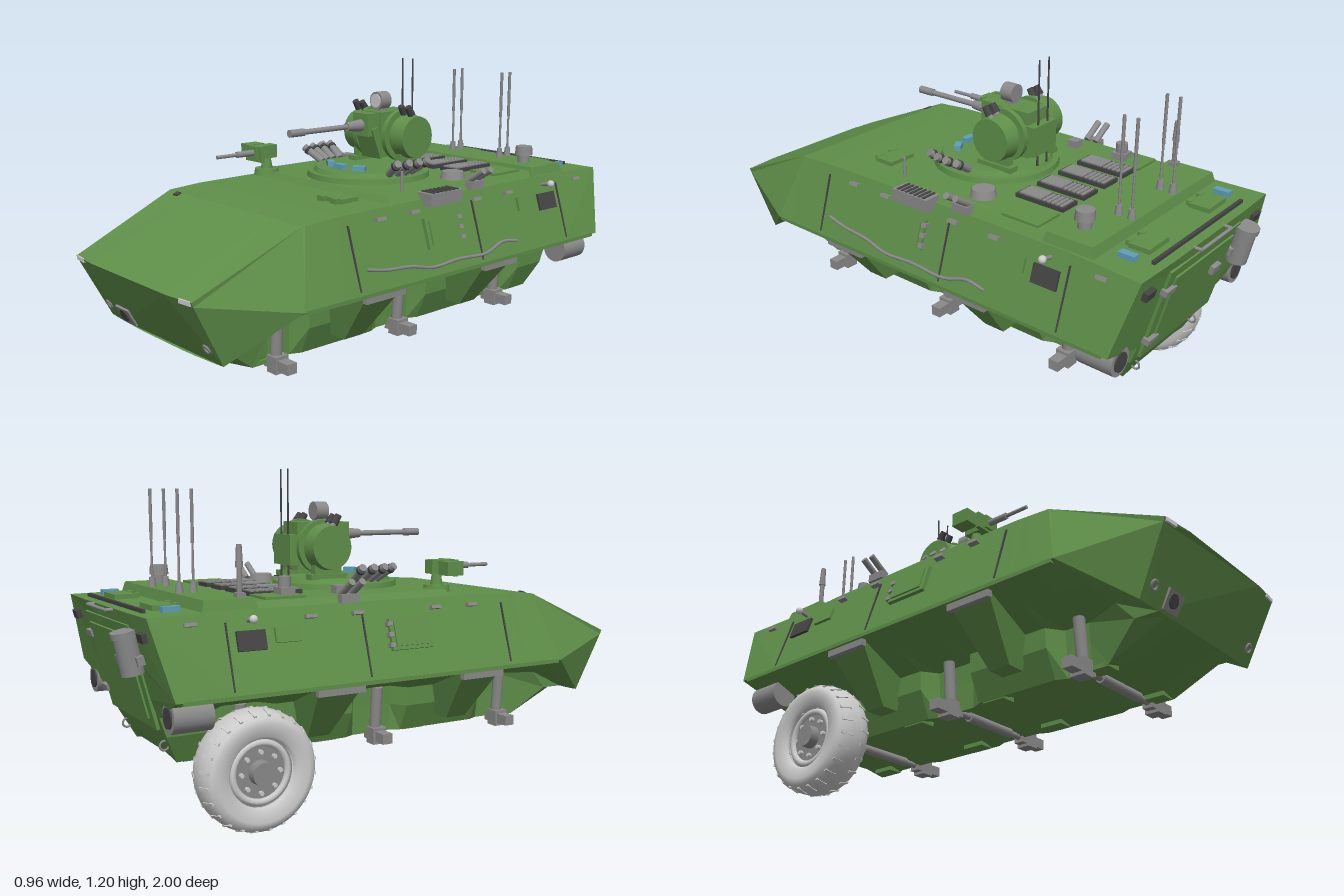
import * as THREE from 'three';

const mat = (color, extra = {}) => new THREE.MeshStandardMaterial({ color, ...extra });
const GREEN = mat(0x5f8f49), FLAT = mat(0x5f8f49, { flatShading: true });
const GREY = mat(0x8a8a8a), LIGHT = mat(0xcccccc), DARK = mat(0x444444), BLUE = mat(0x5f9fb8);

export function createModel() {
  const model = new THREE.Group();
  const add = (name, geo, m, x = 0, y = 0, z = 0, rx = 0, ry = 0, rz = 0) => {
    const mesh = new THREE.Mesh(geo, m);
    mesh.name = name;
    mesh.position.set(x, y, z);
    mesh.rotation.set(rx, ry, rz);
    model.add(mesh);
    return mesh;
  };
  const box = (name, m, w, h, d, ...at) => add(name, new THREE.BoxGeometry(w, h, d), m, ...at);
  // Cylinder or cone running from point a to point b
  const rod = (name, m, a, b, r, r2 = r, n = 14) => {
    const p = new THREE.Vector3(...a), q = new THREE.Vector3(...b), d = q.clone().sub(p);
    const mesh = add(name, new THREE.CylinderGeometry(r2, r, d.length(), n), m);
    mesh.position.copy(p).add(q).multiplyScalar(0.5);
    mesh.quaternion.setFromUnitVectors(new THREE.Vector3(0, 1, 0), d.normalize());
  };
  // Plate lying on the sloped upper side, s = +1 left, -1 right
  const sidePlate = (name, m, s, h, d, y, z, t = 0.016) =>
    box(name, m, t, h, d, s * (0.48 - (y - 0.49) * 0.31), y, z, 0, 0, s * 0.3);
  // Plate lying on the sloped rear
  const rearPlate = (name, m, w, h, x, y, t = 0.016) =>
    box(name, m, w, h, t, x, y, -0.875 - (y - 0.49) * 0.25, -0.25);

  // Hull: half cross-sections from rear to nose, narrowed beside each axle, mirrored and joined
  const section = (z, cut) => {
    const y = 0.75 - Math.max(0, z - 0.4) * 0.068;
    return [[0.23, y, z], [0.395, y, z], [0.48, 0.49, z], [0.365, 0.445, z], [0.25 - cut, 0.4, z], [0.245 - cut, 0.33, z],
      [0.2 - cut * 0.3, 0.23, z], [0.12, 0.25, z]];
  };
  const stations = [
    [[0.23, 0.745, -0.94], [0.41, 0.745, -0.935], [0.48, 0.49, -0.875], [0.365, 0.445, -0.86], [0.25, 0.4, -0.845],
      [0.245, 0.33, -0.82], [0.2, 0.23, -0.77], [0.12, 0.25, -0.78]],
    ...[[-0.67, 0], [-0.63, 0.06], [-0.47, 0.06], [-0.43, 0], [-0.12, 0], [-0.08, 0.06], [0.08, 0.06], [0.12, 0],
      [0.45, 0], [0.49, 0.06], [0.585, 0.06]].map(([z, cut]) => section(z, cut)),
    [[0.23, 0.737, 0.59], [0.39, 0.737, 0.59], [0.48, 0.49, 0.66], [0.365, 0.43, 0.71], [0.25, 0.4, 0.73],
      [0.245, 0.33, 0.79], [0.2, 0.23, 0.66], [0.12, 0.25, 0.68]],
    [[0.23, 0.565, 1], [0.36, 0.565, 0.988], [0.359, 0.55, 0.981], [0.345, 0.332, 0.872], [0.3, 0.33, 0.874],
      [0.245, 0.329, 0.876], [0.2, 0.328, 0.878], [0.12, 0.327, 0.88]],
  ];
  const rings = stations.map(h => [...h, ...h.slice().reverse().map(([x, y, z]) => [-x, y, z])]);
  const tri = [], N = rings[0].length;
  for (let i = 0; i < rings.length - 1; i++)
    for (let j = 0; j < N; j++) {
      const k = (j + 1) % N, a = rings[i][j], b = rings[i][k], c = rings[i + 1][k], d = rings[i + 1][j];
      // Split mirrored faces along mirrored diagonals
      if (j < N / 2) tri.push(a, c, b, a, d, c);
      else tri.push(a, d, b, b, d, c);
    }
  [[rings[0], false], [rings[rings.length - 1], true]].forEach(([ring, front]) => {
    const pts = ring.map(p => new THREE.Vector2(p[0], p[1]));
    THREE.ShapeUtils.triangulateShape(pts, []).forEach(f => {
      const [a, b, c] = f.map(i => pts[i]);
      const ccw = (b.x - a.x) * (c.y - a.y) - (b.y - a.y) * (c.x - a.x) > 0;
      (ccw === front ? f : [f[0], f[2], f[1]]).forEach(i => tri.push(ring[i]));
    });
  });
  const hull = new THREE.BufferGeometry();
  hull.setAttribute('position', new THREE.Float32BufferAttribute(tri.flat(), 3));
  hull.computeVertexNormals();
  add('hull', hull, FLAT);

  // Roof decks, with bevelled edges
  const deck = (name, w, d, y, h, z, bevel) => {
    const g = new THREE.BoxGeometry(w, h, d), p = g.attributes.position;
    for (let i = 0; i < p.count; i++) if (p.getY(i) > 0) {
      p.setX(i, p.getX(i) - Math.sign(p.getX(i)) * bevel);
      p.setZ(i, p.getZ(i) - Math.sign(p.getZ(i)) * bevel);
    }
    add(name, g, FLAT, 0, y + h / 2, z);
  };
  deck('roofDeck', 0.78, 0.79, 0.74, 0.032, -0.18, 0.02);
  deck('rearDeck', 0.78, 0.2, 0.74, 0.045, -0.65, 0.012);
  box('rearRoofRib', DARK, 0.58, 0.012, 0.012, 0, 0.752, -0.9);
  rod('rearRail', GREY, [-0.1, 0.74, -0.962], [0.1, 0.74, -0.962], 0.006);
  for (const x of [-0.1, 0.1]) rod('railBracket', GREY, [x, 0.74, -0.93], [x, 0.74, -0.965], 0.006);

  // Engine grilles: framed panels with slats
  for (const x of [-0.19, -0.07, 0.055, 0.175]) {
    box('grille', DARK, 0.084, 0.016, 0.2, x, 0.778, -0.41);
    box('grilleCover', GREY, 0.066, 0.014, 0.09, x, 0.784, -0.365);
    for (let i = 0; i < 5; i++) box('grilleSlat', GREY, 0.066, 0.012, 0.012, x, 0.784, -0.495 + i * 0.018);
  }
  for (const s of [-1, 1]) box('deckPanel', GREEN, 0.12, 0.012, 0.15, s * 0.3, 0.775, -0.44);
  box('ventBase', GREY, 0.055, 0.03, 0.055, -0.29, 0.79, -0.41);
  rod('vent', GREY, [-0.29, 0.79, -0.41], [-0.29, 0.84, -0.41], 0.022);
  box('smallBlock', GREY, 0.04, 0.03, 0.04, -0.29, 0.785, -0.2);
  rod('roundHatch', GREY, [0.28, 0.77, -0.22], [0.28, 0.8, -0.22], 0.048, 0.04, 24);
  rod('airIntake', GREY, [0.28, 0.78, -0.64], [0.28, 0.82, -0.64], 0.024);
  rod('airIntakeCap', GREY, [0.28, 0.815, -0.64], [0.28, 0.85, -0.64], 0.035, 0.032, 20);
  box('beaconBase', GREY, 0.03, 0.02, 0.03, -0.345, 0.79, -0.6);
  rod('beaconStem', GREY, [-0.345, 0.78, -0.6], [-0.345, 0.89, -0.6], 0.009);
  rod('beacon', GREY, [-0.345, 0.88, -0.6], [-0.345, 0.955, -0.6], 0.013, 0.009);
  for (const [x, z] of [[0.205, 0.28], [0.185, -0.82], [-0.195, -0.82]]) {
    box('hatch', GREEN, 0.12, 0.018, 0.08, x, 0.755, z);
    for (const s of [-1, 1]) box('hatchHinge', GREEN, 0.03, 0.022, 0.02, x + s * 0.035, 0.755, z + 0.045);
  }
  for (const s of [-1, 1]) {
    box('rearPeriscope', BLUE, 0.028, 0.022, 0.06, s * 0.305, 0.755, -0.82);
    // Paired radio antennas
    for (const z of [-0.67, -0.72]) {
      rod('antennaBase', GREY, [s * 0.13, 0.77, z], [s * 0.13, 0.82, z], 0.016, 0.01);
      rod('antenna', GREY, [s * 0.13, 0.8, z], [s * 0.13, 0.96, z], 0.005, 0.004, 8);
      rod('antennaTip', GREY, [s * 0.13, 0.95, z], [s * 0.13, 1.13, z], 0.006, 0.006, 8);
    }
    // Side smoke launchers
    for (const z of [-0.24, -0.2]) rod('sideLauncher', GREY, [s * 0.37, 0.775, z], [s * 0.448, 0.825, z], 0.012);
    box('sideLauncherBase', GREY, 0.03, 0.03, 0.07, s * 0.39, 0.765, -0.22);
    add('sideLamp', new THREE.SphereGeometry(0.014, 12, 8), LIGHT, s * 0.448, 0.725, -0.6);
    rod('lampArm', GREY, [s * 0.4, 0.715, -0.6], [s * 0.445, 0.725, -0.6], 0.007);
  }

  // Turret ring, periscopes and radial smoke launchers
  rod('turretRing', GREEN, [0, 0.765, -0.05], [0, 0.792, -0.05], 0.235, 0.23, 48);
  rod('turretPlate', GREEN, [0, 0.79, -0.05], [0, 0.808, -0.05], 0.21, 0.2, 48);
  for (const a of [-0.55, 0, 0.55])
    box('periscope', BLUE, 0.048, 0.024, 0.026, Math.sin(a) * 0.155, 0.815, -0.05 + Math.cos(a) * 0.14, 0, a);
  for (const s of [-1, 1]) for (let i = 0; i < 4; i++) {
    const a = Math.PI / 2 + (i - 2.1) * 0.17, x = s * Math.sin(a), z = Math.cos(a);
    rod('smokeLauncher', GREY, [x * 0.2, 0.805, -0.05 + z * 0.2], [x * 0.28, 0.855, -0.05 + z * 0.28], 0.014);
    rod('launcherCap', DARK, [x * 0.257, 0.841, -0.05 + z * 0.257], [x * 0.267, 0.847, -0.05 + z * 0.267], 0.017);
  }

  // Turret drum lying across the hull
  const tz = -0.15, ty = 0.92;
  rod('turretDrum', GREEN, [-0.15, ty, tz], [0.15, ty, tz], 0.075, 0.075, 32);
  for (const s of [-1, 1]) {
    rod('drumEnd', GREEN, [s * 0.105, ty, tz], [s * 0.163, ty, tz], 0.085, 0.078, 32);
    rod('drumCollar', GREEN, [s * 0.07, ty, tz], [s * 0.09, ty, tz], 0.098, 0.098, 32);
    box('turretLeg', GREEN, 0.03, 0.11, 0.11, s * 0.115, 0.85, tz);
    box('turretFoot', GREEN, 0.04, 0.02, 0.15, s * 0.12, 0.815, tz);
    for (const x of [0.108, 0.145]) {
      rod('turretTube', GREY, [s * x, 0.97, tz - 0.01], [s * x, 1.01, tz + 0.02], 0.01);
      rod('turretTubeCap', DARK, [s * x, 1.005, tz + 0.015], [s * x, 1.035, tz + 0.035], 0.015, 0.012);
    }
    rod('whipAntenna', DARK, [s * 0.027, 0.81, -0.258], [s * 0.027, 1.2, -0.258], 0.004, 0.003, 8);
  }
  box('turretCore', GREEN, 0.11, 0.17, 0.17, 0, ty + 0.005, tz);
  box('mantlet', GREEN, 0.085, 0.085, 0.1, 0, 0.965, -0.06);
  box('mantletSkirt', GREEN, 0.1, 0.12, 0.03, 0, 0.895, -0.06, 0.35);
  box('turretRearBox', GREEN, 0.13, 0.11, 0.05, 0, 0.91, -0.245);
  rod('gunSleeve', GREY, [0, 0.962, -0.02], [0, 0.962, 0.06], 0.024, 0.016);
  rod('gunBarrel', GREY, [0, 0.962, 0.04], [0, 0.962, 0.325], 0.01);
  rod('muzzle', GREY, [0, 0.962, 0.265], [0, 0.962, 0.33], 0.014);
  box('sightMount', GREY, 0.035, 0.05, 0.035, 0, 1.015, -0.115);
  rod('sight', GREY, [0, 1.048, -0.14], [0, 1.048, -0.09], 0.034, 0.034, 24);
  rod('sightLens', LIGHT, [0, 1.048, -0.09], [0, 1.048, -0.086], 0.026, 0.026, 24);

  // Small gun on the right front of the roof
  rod('gunRing', GREEN, [-0.31, 0.76, 0.2], [-0.31, 0.785, 0.2], 0.05, 0.045, 24);
  rod('gunPost', GREEN, [-0.31, 0.78, 0.2], [-0.31, 0.83, 0.2], 0.024, 0.016);
  box('gunBody', GREEN, 0.045, 0.05, 0.1, -0.31, 0.85, 0.215);
  box('gunShield', GREEN, 0.1, 0.06, 0.015, -0.315, 0.845, 0.25);
  box('ammunitionBox', GREEN, 0.055, 0.05, 0.07, -0.385, 0.848, 0.21);
  rod('smallBarrel', GREY, [-0.31, 0.85, 0.25], [-0.31, 0.85, 0.43], 0.007);
  rod('smallBarrelJacket', GREY, [-0.31, 0.85, 0.26], [-0.31, 0.85, 0.34], 0.012);
  rod('sightPost', GREY, [0.335, 0.76, 0.1], [0.335, 0.845, 0.1], 0.005);

  // Fittings on the side slopes
  for (const s of [-1, 1]) {
    sidePlate('sideDoor', GREEN, s, 0.11, 0.17, 0.635, 0, 0.024);
    sidePlate('sideDoorInset', GREEN, s, 0.085, 0.14, 0.635, 0, 0.036);
    for (const y of [0.6, 0.635, 0.67]) sidePlate('doorHinge', GREY, s, 0.015, 0.02, y, -0.085, 0.036);
    sidePlate('sideVent', DARK, s, 0.065, 0.1, 0.655, -0.6);
    sidePlate('sidePanel', GREEN, s, 0.05, 0.09, 0.665, -0.47);
    for (const z of [0.28, 0.12, -0.2, -0.38, -0.8]) sidePlate('grabHandle', GREY, s, 0.012, 0.04, 0.715, z, 0.03);
    for (const z of [0.42, -0.18, -0.68]) sidePlate('panelSeam', DARK, s, 0.22, 0.005, 0.61, z, 0.006);
    box('sideLedge', GREEN, 0.02, 0.014, 1.5, s * 0.47, 0.487, -0.1);
    // Wedge brackets between the wheel stations
    for (const z of [0.3, -0.29]) {
      const g = new THREE.BoxGeometry(0.23, 0.2, 0.17), p = g.attributes.position;
      for (let i = 0; i < p.count; i++) if (p.getY(i) < 0) {
        p.setZ(i, p.getZ(i) * 0.5);
        if (p.getX(i) * s > 0) p.setX(i, p.getX(i) - s * 0.16);
      }
      add('wheelBracket', g, FLAT, s * 0.35, 0.38, z);
      box('bracketPlate', GREY, 0.02, 0.03, 0.18, s * 0.46, 0.47, z);
    }
  }
  box('sideLouvre', GREY, 0.07, 0.045, 0.16, 0.405, 0.75, -0.02);
  for (let i = 0; i < 7; i++) box('louvreSlat', DARK, 0.06, 0.006, 0.01, 0.405, 0.773, -0.08 + i * 0.02);
  const rope = [[0.38, 0.57], [0.3, 0.555], [0.18, 0.545], [0.08, 0.525], [-0.05, 0.53], [-0.2, 0.525], [-0.3, 0.55], [-0.38, 0.54]]
    .map(([z, y]) => new THREE.Vector3(0.484 - (y - 0.49) * 0.31, y, z));
  add('towRope', new THREE.TubeGeometry(new THREE.CatmullRomCurve3(rope), 40, 0.006, 6), GREY);

  // Nose: lamps, hooks and glacis fittings
  box('headlightBox', GREY, 0.085, 0.07, 0.03, -0.192, 0.375, 0.89, 0.5);
  rod('headlight', DARK, [-0.197, 0.375, 0.892], [-0.197, 0.369, 0.908], 0.024);
  box('glacisBracket', GREEN, 0.07, 0.02, 0.07, 0.31, 0.71, 0.62, 0.4);
  box('glacisBracket', DARK, 0.025, 0.01, 0.02, -0.32, 0.733, 0.6, 0.4);
  for (const s of [-1, 1]) {
    box('markerLamp', LIGHT, 0.055, 0.014, 0.02, s * 0.325, 0.56, 0.982, 0, s * 0.1);
    add('frontHook', new THREE.TorusGeometry(0.015, 0.005, 6, 16), GREY, s * 0.303, 0.385, 0.902, 0.5);
  }

  // Rear: door, canister, lamps, hooks and water propellers
  rearPlate('rearDoor', GREEN, 0.46, 0.36, 0, 0.53, 0.012);
  rearPlate('rearDoorInset', GREEN, 0.38, 0.29, 0, 0.53, 0.026);
  rearPlate('doorLatch', GREY, 0.05, 0.03, -0.1, 0.58, 0.06);
  for (const y of [0.43, 0.63]) rearPlate('doorHinge', GREY, 0.06, 0.022, 0.21, y, 0.04);
  rod('canister', GREY, [-0.245, 0.55, -0.925], [-0.245, 0.675, -0.95], 0.038, 0.038, 20);
  rod('canisterCap', GREY, [-0.245, 0.67, -0.949], [-0.245, 0.69, -0.953], 0.044, 0.044, 20);
  rearPlate('canisterBracket', GREY, 0.1, 0.03, -0.245, 0.6, 0.05);
  for (const s of [-1, 1]) {
    rearPlate('rearLamp', DARK, 0.05, 0.03, s * 0.35, 0.68, 0.03);
    rod('propellerDuct', GREY, [s * 0.385, 0.428, -0.73], [s * 0.385, 0.428, -0.865], 0.052, 0.052, 20);
    rod('propellerHub', DARK, [s * 0.385, 0.428, -0.86], [s * 0.385, 0.428, -0.87], 0.035);
    add('rearHook', new THREE.TorusGeometry(0.016, 0.004, 6, 16), GREY, s * 0.19, 0.29, -0.808, 0, Math.PI / 2);
  }

  // Axles with boxed ends and upright struts
  for (const z of [0.57, 0, -0.55]) {
    rod('axle', GREY, [-0.115, 0.233, z], [0.115, 0.233, z], 0.018);
    rod('axleArm', GREY, [-0.22, 0.233, z], [0.22, 0.233, z], 0.012);
    for (const s of [-1, 1]) {
      box('axleEnd', GREY, 0.13, 0.038, 0.04, s * 0.235, 0.23, z);
      box('axleKnuckle', GREY, 0.05, 0.06, 0.055, s * 0.222, 0.23, z);
      rod('strut', GREY, [s * 0.21, 0.22, z], [s * 0.225, 0.41, z], 0.021);
    }
  }
  for (const z of [0.61, 0.18, -0.2, -0.7]) for (const s of [-1, 1])
    box('bellyRib', GREEN, 0.06, 0.016, 0.09, s * 0.165, 0.235, z);

  // Single rear right wheel, turned about x
  const wheel = new THREE.Group();
  wheel.name = 'wheel';
  const tyre = [[0.115, -0.055], [0.125, -0.07], [0.165, -0.077], [0.186, -0.07], [0.2, -0.05], [0.207, -0.02], [0.207, 0.02],
    [0.2, 0.05], [0.186, 0.07], [0.165, 0.077], [0.125, 0.07], [0.115, 0.055]].map(p => new THREE.Vector2(...p));
  const part = (name, g, m, y = 0) => {
    const mesh = new THREE.Mesh(g, m);
    mesh.name = name; mesh.position.y = y; wheel.add(mesh);
    return mesh;
  };
  part('tyre', new THREE.LatheGeometry(tyre, 48), mat(0xcccccc, { side: THREE.DoubleSide }));
  part('rim', new THREE.CylinderGeometry(0.118, 0.118, 0.08, 32), GREY);
  part('innerDisc', new THREE.CylinderGeometry(0.122, 0.122, 0.04, 32), GREY, -0.048);
  part('rimRing', new THREE.TorusGeometry(0.1, 0.012, 8, 32), LIGHT, 0.042).rotation.x = Math.PI / 2;
  part('hub', new THREE.CylinderGeometry(0.04, 0.05, 0.15, 20), GREY);
  for (let i = 0; i < 8; i++) {
    const a = i * Math.PI / 4, bolt = part('bolt', new THREE.CylinderGeometry(0.008, 0.008, 0.02, 6), LIGHT, 0.044);
    bolt.position.x = Math.cos(a) * 0.07; bolt.position.z = Math.sin(a) * 0.07;
  }
  for (let i = 0; i < 48; i++) {
    const a = i * Math.PI / 24, s = i % 2 ? 1 : -1;
    const lug = part('treadLug', new THREE.BoxGeometry(0.01, 0.045, 0.01), LIGHT, s * 0.042);
    lug.position.x = Math.cos(a) * 0.199; lug.position.z = Math.sin(a) * 0.199;
    lug.rotation.set(0, -a, s * 0.3);
  }
  wheel.rotation.z = Math.PI / 2;
  wheel.position.set(-0.337, 0.208, -0.55);
  model.add(wheel);
  return model;
}
